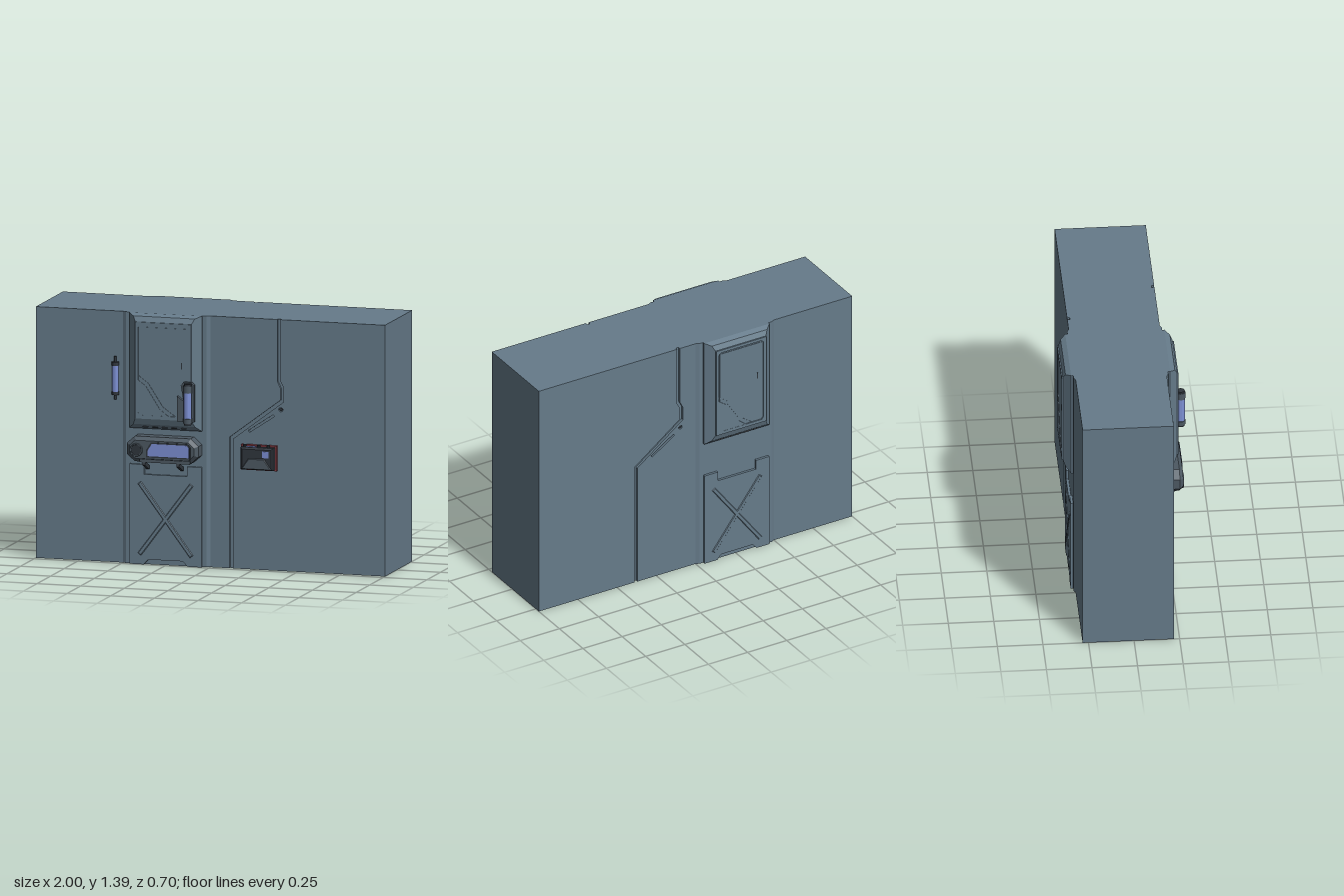
import * as THREE from 'three';

const paint = (color) => new THREE.MeshStandardMaterial({ color, flatShading: true });
const wallMat = paint(0x667b8a);
const greyMat = paint(0x4d5963);
const darkMat = paint(0x30363d);
const blueMat = paint(0x7d90d4);
const redMat = paint(0x8c3f47);

const H = 1.395;      // wall height
const MID = -0.032;   // z of the wall's middle plane

function add(parent, name, geometry, material, x = 0, y = 0, z = 0) {
  const mesh = new THREE.Mesh(geometry, material);
  mesh.name = name;
  mesh.position.set(x, y, z);
  parent.add(mesh);
  return mesh;
}

const box = (w, h, d) => new THREE.BoxGeometry(w, h, d);
const outline = (pts) => new THREE.Shape(pts.map(([x, y]) => new THREE.Vector2(x, y)));

// Plate standing in the xy plane, from z0 to z1, with an optional front bevel
function plate(shape, z0, z1, bevel = 0) {
  const g = new THREE.ExtrudeGeometry(shape, {
    depth: z1 - z0 - bevel, bevelEnabled: bevel > 0, bevelSize: bevel,
    bevelThickness: bevel, bevelOffset: -bevel, bevelSegments: 1, curveSegments: 10,
  });
  return g.translate(0, 0, z0);
}

// Straight slot or bar outline between two points
function barPoints(x0, y0, x1, y1, w) {
  const l = Math.hypot(x1 - x0, y1 - y0);
  const nx = -(y1 - y0) / l * w / 2, ny = (x1 - x0) / l * w / 2;
  return [[x0 - nx, y0 - ny], [x1 - nx, y1 - ny], [x1 + nx, y1 + ny], [x0 + nx, y0 + ny]];
}

// Skin over rectangular rings [z, halfWidth, bottom, top], closed at the last ring
function ringSkin(rings) {
  const corners = rings.map(([z, h, b, t]) => [[-h, b, z], [h, b, z], [h, t, z], [-h, t, z]]);
  const pos = [];
  const quad = (a, b, c, d) => pos.push(...a, ...b, ...c, ...a, ...c, ...d);
  for (let i = 0; i < corners.length - 1; i++) {
    for (let k = 0; k < 4; k++) {
      const n = (k + 1) % 4;
      quad(corners[i][k], corners[i][n], corners[i + 1][n], corners[i + 1][k]);
    }
  }
  quad(...corners[corners.length - 1]);
  const g = new THREE.BufferGeometry();
  g.setAttribute('position', new THREE.Float32BufferAttribute(pos, 3));
  g.computeVertexNormals();
  return g;
}

// Raised strip, window hood and lower hatch for one face of the wall
function hatchModule() {
  const g = new THREE.Group();
  g.name = 'hatchModule';
  const strip = outline([[-0.25, -0.2], [0.25, -0.2], [0.25, -0.25], [0.23, -0.26], [-0.23, -0.26], [-0.25, -0.25]]);
  add(g, 'raisedStrip', plate(strip, 0, H).rotateX(-Math.PI / 2), wallMat);

  // Window hood with bevelled sides
  add(g, 'windowHood', ringSkin([
    [0.255, 0.208, 0.755, H], [0.272, 0.208, 0.755, H],
    [0.3, 0.176, 0.782, 1.382], [0.313, 0.162, 0.815, 1.355],
  ]), wallMat);
  const frame = outline([[-0.16, 0.818], [0.16, 0.818], [0.16, 1.352], [-0.16, 1.352]]);
  frame.holes.push(new THREE.Path([[-0.143, 0.85], [-0.13, 0.836], [0.13, 0.836], [0.143, 0.85],
    [0.143, 1.322], [0.13, 1.335], [-0.13, 1.335], [-0.143, 1.322]].map((p) => new THREE.Vector2(...p))));
  add(g, 'windowFrame', plate(frame, 0.311, 0.32), wallMat);
  add(g, 'windowPanel', box(0.268, 0.48, 0.006), wallMat, 0, 1.085, 0.313);
  const brace = outline([[-0.143, 0.836], [0.03, 0.836], [-0.02, 0.875], [-0.1, 1.0], [-0.143, 1.03]]);
  add(g, 'windowBrace', plate(brace, 0.313, 0.319), wallMat);
  const trim = outline([[0.05, 0.838], [0.068, 0.838], [-0.002, 0.888], [-0.085, 1.015], [-0.14, 1.055],
    [-0.14, 1.043], [-0.093, 1.008], [-0.012, 0.882]]);
  add(g, 'windowTrim', plate(trim, 0.313, 0.319), wallMat);
  add(g, 'windowLatch', box(0.006, 0.035, 0.004), darkMat, 0.105, 1.12, 0.317);
  for (let i = -2; i <= 2; i++) {
    const vent = add(g, 'hoodVent', box(0.03, 0.004, 0.008), darkMat, i * 0.055, 0.768, 0.287);
    vent.rotation.x = 0.75;
  }

  // Lower hatch with notches and a pressed cross
  add(g, 'lowerHatch', plate(outline([
    [-0.206, 0], [-0.125, 0], [-0.1, 0.028], [0.1, 0.028], [0.125, 0], [0.206, 0], [0.206, 0.555],
    [0.122, 0.555], [0.122, 0.5], [-0.122, 0.5], [-0.122, 0.555], [-0.206, 0.555],
  ]), 0.258, 0.274), wallMat);
  for (const s of [-1, 1]) {
    add(g, 'crossRib', plate(outline(barPoints(-0.15 * s, 0.055, 0.15 * s, 0.455, 0.026)), 0.272, 0.278, 0.005), wallMat);
  }
  return g;
}

// Two facing panels separated by a stepped seam
function seamModule() {
  const g = new THREE.Group();
  g.name = 'seamModule';
  add(g, 'seamPanelLeft', plate(outline([[-0.25, 0], [-0.14, 0], [-0.14, 0.728], [0.152, 0.948],
    [0.152, 1.012], [0.133, 1.05], [0.133, H], [-0.25, H]]), 0.235, 0.25), wallMat);
  const right = outline([[-0.122, 0], [0.25, 0], [0.25, H], [0.15, H], [0.15, 1.055],
    [0.169, 1.017], [0.169, 0.938], [-0.122, 0.718]]);
  right.holes.push(outline(barPoints(-0.03, 0.765, 0.113, 0.86, 0.012)));
  right.holes.push(new THREE.Path().absarc(0.153, 0.895, 0.012, 0, Math.PI * 2, true));
  add(g, 'seamPanelRight', plate(right, 0.235, 0.25), wallMat);
  add(g, 'seamBolt', new THREE.CylinderGeometry(0.008, 0.008, 0.01, 10).rotateX(Math.PI / 2), darkMat, 0.153, 0.895, 0.24);
  return g;
}

// Upright lamp made of stacked cylinders [radius, bottom, top, material]
function lamp(parent, name, x, z, pieces) {
  const g = new THREE.Group();
  g.name = name;
  g.position.set(x, 0, z);
  for (const [r, b, t, m] of pieces) {
    add(g, m === blueMat ? 'lampGlass' : 'lampCap', new THREE.CylinderGeometry(r, r, t - b, 14), m, 0, (b + t) / 2, 0);
  }
  parent.add(g);
  return g;
}

function controlConsole() {
  const g = new THREE.Group();
  g.name = 'console';
  g.position.set(-0.25, 0.65, 0);
  add(g, 'consoleBody', plate(outline([[-0.16, -0.07], [0.16, -0.07], [0.205, -0.03], [0.205, 0.03],
    [0.16, 0.07], [-0.16, 0.07], [-0.205, 0.03], [-0.205, -0.03]]), 0.22, 0.314, 0.02), greyMat);
  add(g, 'dialRing', new THREE.TorusGeometry(0.032, 0.005, 6, 20), greyMat, -0.145, -0.003, 0.314);
  add(g, 'dial', new THREE.CylinderGeometry(0.03, 0.03, 0.006, 20).rotateX(Math.PI / 2), darkMat, -0.145, -0.003, 0.314);
  add(g, 'screenFrame', plate(outline([[-0.088, -0.042], [0.165, -0.042], [0.165, 0.025], [0.15, 0.043],
    [-0.06, 0.043], [-0.088, 0]]), 0.312, 0.317), darkMat);
  add(g, 'screen', plate(outline([[-0.078, -0.034], [0.157, -0.034], [0.157, 0.022], [0.145, 0.035],
    [-0.055, 0.035], [-0.078, -0.002]]), 0.315, 0.319), blueMat);
  add(g, 'handrail', box(0.29, 0.018, 0.014), greyMat, 0.02, -0.06, 0.315);
  for (const x of [-0.1, 0.095]) {
    const arm = add(g, 'railArm', box(0.016, 0.022, 0.085), darkMat, x, -0.092, 0.28);
    arm.rotation.x = -0.42;
  }
  return g;
}

function wallBox() {
  const g = new THREE.Group();
  g.name = 'wallBox';
  g.position.set(0.283, 0.625, 0);
  add(g, 'backPlate', box(0.205, 0.14, 0.022), redMat, 0, 0, 0.226);
  add(g, 'boxBody', plate(outline([[-0.093, -0.062], [0.093, -0.062], [0.093, 0.062], [-0.093, 0.062]]), 0.23, 0.283, 0.01), darkMat);
  add(g, 'boxCover', plate(outline([[-0.085, -0.058], [0.085, -0.058], [0.045, 0.002], [-0.045, 0.002]]), 0.28, 0.289, 0.004), greyMat);
  add(g, 'boxDisplay', box(0.036, 0.036, 0.005), blueMat, 0.052, 0.026, 0.284);
  add(g, 'topDisplay', box(0.06, 0.004, 0.018), blueMat, -0.035, 0.063, 0.257);
  for (const x of [-0.075, 0.005, 0.06]) {
    add(g, 'topKnob', new THREE.CylinderGeometry(0.01, 0.01, 0.016, 10), darkMat, x, 0.067, 0.257);
  }
  return g;
}

export function createModel() {
  const model = new THREE.Group();
  model.name = 'wallSection';

  // Solid wall, thinner behind the seam panels
  const wall = new THREE.Group();
  wall.name = 'wall';
  wall.position.z = MID;
  model.add(wall);
  add(wall, 'wallRight', box(1, H, 0.5), wallMat, -0.5, H / 2, 0);
  add(wall, 'wallCore', box(0.5, H, 0.47), wallMat, 0.25, H / 2, 0);
  add(wall, 'wallLeft', box(0.5, H, 0.5), wallMat, 0.75, H / 2, 0);

  // Same relief on both faces, turned half way round
  for (const turn of [0, Math.PI]) {
    const hatch = hatchModule();
    hatch.position.x = -0.25;
    const seam = seamModule();
    seam.position.x = 0.25;
    hatch.rotation.y = seam.rotation.y = turn;
    wall.add(hatch, seam);
  }

  // Front fittings
  model.add(controlConsole(), wallBox());
  lamp(model, 'wallLamp', -0.54, 0.233, [
    [0.007, 0.905, 1.145, darkMat], [0.02, 0.932, 0.95, darkMat],
    [0.017, 0.95, 1.095, blueMat], [0.02, 1.095, 1.115, darkMat],
  ]);
  const hoodLamp = lamp(model, 'hoodLamp', -0.097, 0.326, [
    [0.021, 0.802, 0.812, darkMat], [0.025, 0.812, 0.838, greyMat],
    [0.022, 0.838, 0.98, blueMat], [0.025, 0.98, 1.02, greyMat], [0.021, 1.02, 1.03, darkMat],
  ]);
  add(hoodLamp, 'lampBracket', plate(outline([[-0.066, 0.815], [0.03, 0.815], [0.03, 1.02], [0.015, 1.035],
    [-0.03, 1.035], [-0.045, 1.015], [-0.03, 0.93], [-0.066, 0.955]]), -0.04, -0.018), greyMat);
  return model;
}
